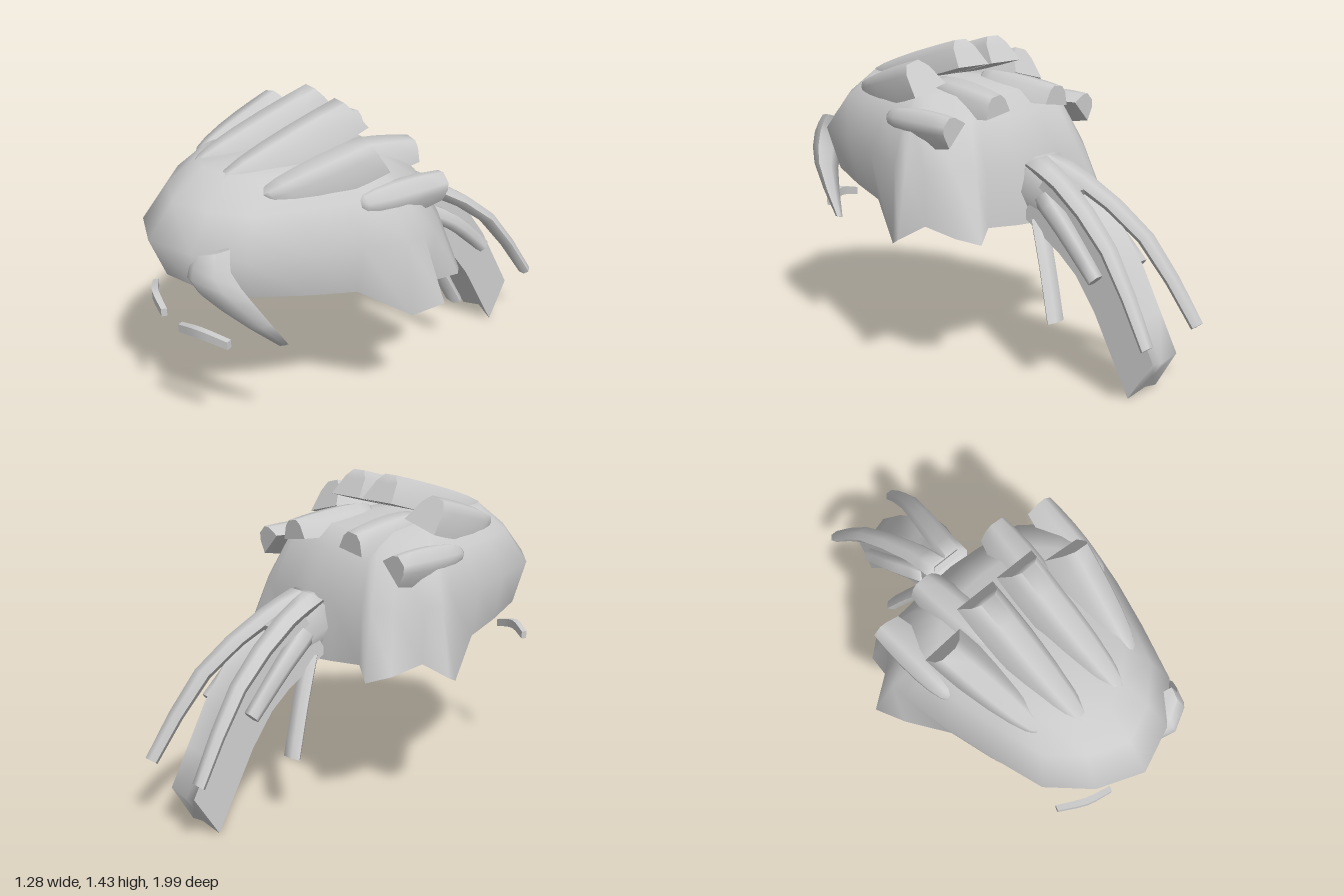
import * as THREE from 'three';
import { toCreasedNormals } from 'three/addons/utils/BufferGeometryUtils.js';

const material = new THREE.MeshStandardMaterial({ color: 0xcccccc, side: THREE.DoubleSide });

// Cross-sections, as [across, outward] in half sizes
const polygon = (n, turn, r) => Array.from({ length: n }, (_, j) => {
  const a = turn + (j * Math.PI * 2) / n;
  return [Math.cos(a) * r, Math.sin(a) * r];
});
const HEX = polygon(6, 0, 1);
const BOX = polygon(4, Math.PI / 4, Math.SQRT2);
const CHEVRON = [[1, -1], [0.85, 1], [0, 0.7], [-0.85, 1], [-1, -1], [0, -0.7]];
const SPIKE = [[1.35, -1.5], [0.95, 0.2], [0.5, 0.87], [-0.5, 0.87], [-0.95, 0.2], [-1.35, -1.5]];

function build(positions, index) {
  const g = new THREE.BufferGeometry();
  g.setAttribute('position', new THREE.Float32BufferAttribute(positions, 3));
  g.setIndex(index);
  return g;
}

// Strand swept along a path. size: half width at root and tip, bulge between
// them, thickness ratio. mirror = -1 builds it on the other side.
function lock(name, path, size, out, { section = HEX, across = [out[1], -out[0], 0], mirror = 1 } = {}) {
  const vec = ([x, y, z]) => new THREE.Vector3(x * mirror, y, z);
  const U = vec(out).normalize(), W = vec(across).normalize();
  const [root, tip, bulge, ratio] = size;
  const centres = new THREE.CatmullRomCurve3(path.map(vec)).getPoints(6);
  const pos = [], index = [], n = section.length, last = centres.length - 1;
  centres.forEach((c, i) => {
    const u = i / last;
    const w = root + (tip - root) * u + bulge * Math.sin(Math.PI * u);
    for (const [a, b] of section) {
      pos.push(...c.clone().addScaledVector(W, a * w).addScaledVector(U, b * w * ratio).toArray());
    }
  });
  const flip = W.clone().cross(U).dot(centres[last].clone().sub(centres[0])) < 0;
  const tri = (a, b, c) => index.push(...(flip ? [a, c, b] : [a, b, c]));
  const rootCentre = n * (last + 1), tipCentre = rootCentre + 1, tipRow = n * last;
  pos.push(...centres[0].toArray(), ...centres[last].toArray());
  for (let j = 0; j < n; j++) {
    const k = (j + 1) % n;
    for (let row = 0; row < tipRow; row += n) {
      tri(row + j, row + k, row + n + j);
      tri(row + k, row + n + k, row + n + j);
    }
    tri(k, j, rootCentre);
    tri(tipRow + j, tipRow + k, tipCentre);
  }
  const mesh = new THREE.Mesh(toCreasedNormals(build(pos, index), 1.2), material);
  mesh.name = name;
  return mesh;
}

// Open cap: one half outline, front to back, shrunk towards the crown and
// flared and dropped at the rim into side and rear points
function makeCap() {
  // x, z, rim flare, rim drop
  const columns = [
    [0, 1, 0.9, 0], [0.2, 0.92, 0.94, -0.01], [0.36, 0.77, 0.9, 0], [0.44, 0.52, 0.92, 0],
    [0.5, 0.3, 0.92, 0], [0.54, 0.1, 1.05, 0.11], [0.55, 0.02, 1.16, 0.04], [0.52, -0.06, 0.98, 0],
    [0.43, -0.15, 1.16, 0], [0.36, -0.21, 1.17, 0.02], [0.31, -0.22, 1.05, -0.02],
    [0.14, -0.24, 1.03, 0], [0, -0.25, 1.06, 0]];
  const outline = [...columns,
    ...columns.slice(1, -1).reverse().map(([x, ...rest]) => [-x, ...rest])];
  // Each ring: scale about the centre, height, slope towards the front
  const rings = [[1, 0.69, 0.14], [1, 0.93, 0.07], [0.83, 1.12, 0.02], [0.62, 1.2, 0.067]];
  const pos = [], index = [], n = outline.length, apex = n * rings.length;
  rings.forEach(([scale, height, slope], i) => {
    for (const [x, z, flare, drop] of outline) {
      const s = i === 0 ? flare : scale;
      const zr = 0.3 + (z - 0.3) * s;
      pos.push(x * s, height + slope * zr - (i === 0 ? drop : 0), zr);
    }
  });
  pos.push(0, 1.255, 0.35);
  for (let j = 0; j < n; j++) {
    const k = (j + 1) % n;
    for (let row = 0; row < apex - n; row += n) {
      index.push(row + j, row + k, row + n + j, row + k, row + n + k, row + n + j);
    }
    index.push(apex - n + j, apex - n + k, apex);
  }
  const g = build(pos, index);
  g.computeVertexNormals();
  const mesh = new THREE.Mesh(g, material);
  mesh.name = 'hairCap';
  return mesh;
}

export function createModel() {
  const model = new THREE.Group();
  model.name = 'hair';
  model.add(makeCap());

  const pair = (name, path, size, out, section) => {
    model.add(lock(name + 'Left', path, size, out, { section }));
    model.add(lock(name + 'Right', path, size, out, { section, mirror: -1 }));
  };

  // Spikes rising out of the crown and behind it
  pair('crownSpike', [[0.1, 1.22, 0.7], [0.105, 1.385, 0.1]], [0.02, 0.07, 0.02, 0.83], [0, 0.8, 0.6], SPIKE);
  pair('outerCrownSpike', [[0.25, 1.18, 0.61], [0.34, 1.3, 0.15]], [0.02, 0.07, 0.02, 0.88], [0.2, 0.8, 0.55], SPIKE);
  pair('backSpike', [[0.16, 1.23, 0.23], [0.2, 1.185, -0.18]], [0.03, 0.055, 0.03, 0.65], [0.15, 0.98, 0], SPIKE);
  pair('outerBackSpike', [[0.42, 1.11, 0.26], [0.45, 1.11, -0.15]], [0.02, 0.05, 0.025, 0.75], [0.7, 0.7, 0], SPIKE);

  // Ponytail: rounded base, core and the thin strands around it
  model.add(lock('ponytailBase', [[0, 0.82, -0.2], [0, 0.72, -0.42]], [0.135, 0.105, 0, 1.3], [0, 0.85, -0.52]));
  model.add(lock('ponytail', [[0, 0.78, -0.3], [0, 0.57, -0.6], [0, 0.09, -0.885]],
    [0.105, 0.1, 0, 1.05], [0, 0.85, -0.52], { section: CHEVRON }));
  pair('upperTailStrand', [[0.04, 0.92, -0.26], [0.065, 0.85, -0.43], [0.13, 0.63, -0.735], [0.18, 0.28, -0.975]],
    [0.065, 0.033, 0, 0.8], [0, 0.6, -0.8]);
  pair('middleTailStrand', [[0.07, 0.78, -0.33], [0.13, 0.68, -0.5], [0.155, 0.5, -0.69]],
    [0.05, 0.035, 0, 1], [0, 0.7, -0.7]);
  pair('lowerTailStrand', [[0.06, 0.68, -0.3], [0.12, 0.5, -0.4], [0.18, 0.28, -0.5]],
    [0.05, 0.05, 0, 0.6], [0, 0.3, -0.95]);

  // Single fringe lock sweeping down over the left temple
  model.add(lock('fringe', [[0.25, 1.01, 0.85], [0.26, 0.92, 0.88], [0.34, 0.79, 0.81], [0.41, 0.58, 0.64]],
    [0.085, 0.025, 0.05, 0.55], [0.5, 0.1, 0.85], { across: [0.85, 0.33, -0.45] }));

  pair('eyebrow', [[0.07, 0.6, 0.925], [0.19, 0.622, 0.9], [0.31, 0.602, 0.835]],
    [0.018, 0.018, 0.002, 0.7], [0.35, 0, 0.93], BOX);
  return model;
}
